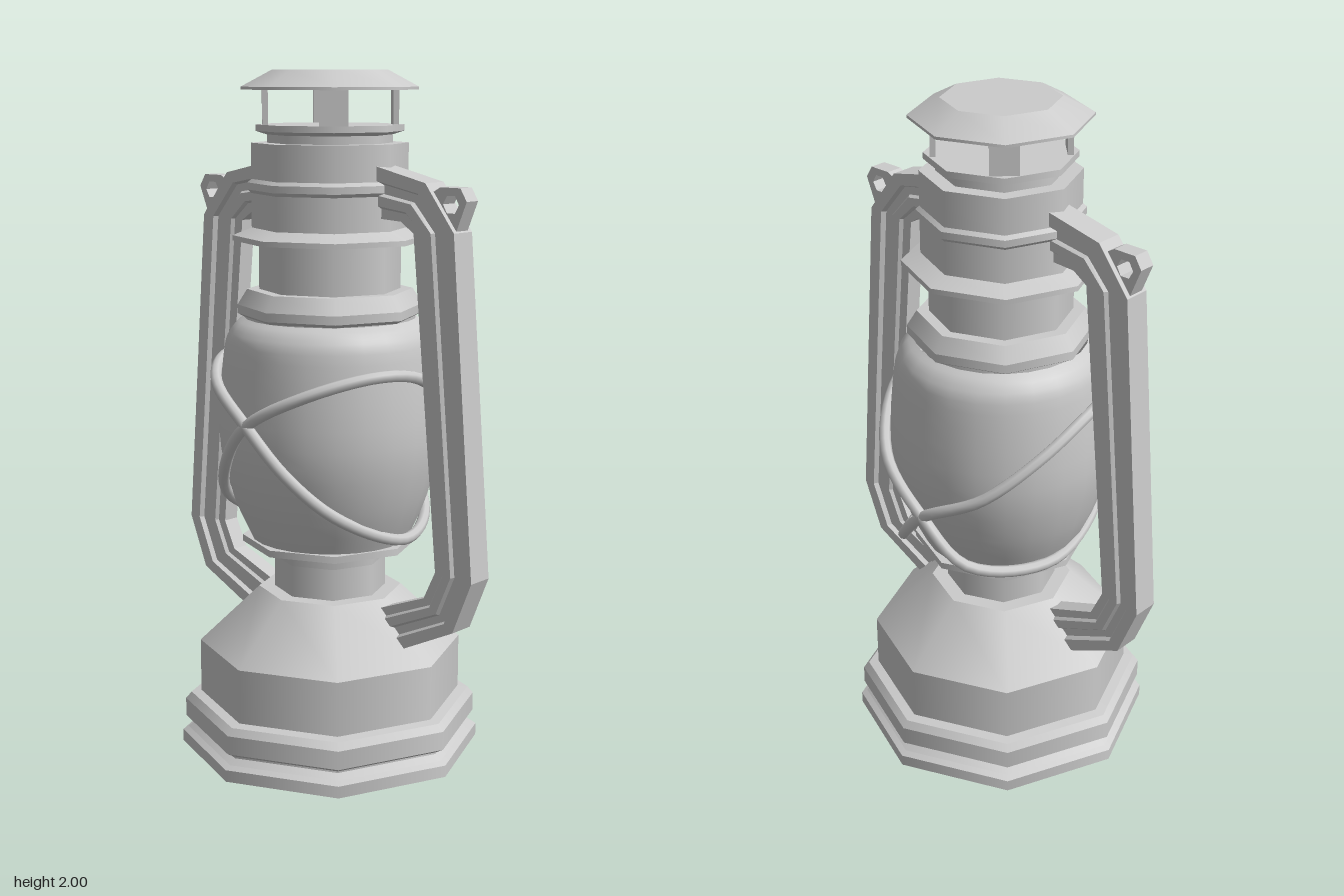
import * as THREE from 'three';
import { mergeGeometries } from 'three/addons/utils/BufferGeometryUtils.js';

const material = new THREE.MeshStandardMaterial({ color: 0xcccccc, side: THREE.DoubleSide });
const flatMaterial = new THREE.MeshStandardMaterial({ color: 0xcccccc, flatShading: true });

// Octagonal turned part: one lathe per band keeps the rims sharp and the sides smooth
function turned(name, profile) {
  const bands = [];
  for (let i = 1; i < profile.length; i++) {
    const pair = [profile[i - 1], profile[i]].map(([r, y]) => new THREE.Vector2(r, y));
    bands.push(new THREE.LatheGeometry(pair, 8));
  }
  return named(name, mergeGeometries(bands));
}

function named(name, geometry, mat = material) {
  const mesh = new THREE.Mesh(geometry, mat);
  mesh.name = name;
  return mesh;
}

// Side frame: a grooved strip lofted between an outer and an inner path
function frameGeometry() {
  const outer = [[0.19, 1.742], [0.38, 1.70], [0.48, 1.57], [0.558, 0.61], [0.495, 0.455], [0.27, 0.345]];
  const inner = [[0.19, 1.595], [0.285, 1.59], [0.33, 1.56], [0.42, 0.614], [0.38, 0.53], [0.19, 0.455]];
  const face = [[0, 0.04], [0.27, 0.04], [0.32, 0.026], [0.5, 0.026], [0.55, 0.036], [0.75, 0.036], [0.8, 0.026], [1, 0.026]];
  const section = [...face, ...face.map(([t, z]) => [t, -z]).reverse()];
  const n = section.length;
  const positions = [];
  const index = [];
  outer.forEach(([ox, oy], i) => {
    const [ix, iy] = inner[i];
    for (const [t, z] of section) positions.push(ox + (ix - ox) * t, oy + (iy - oy) * t, z);
    if (i === 0) return;
    for (let j = 0; j < n; j++) {
      const k = (j + 1) % n;
      const a = (i - 1) * n + j, b = (i - 1) * n + k, c = i * n + k, d = i * n + j;
      index.push(a, b, c, a, c, d);
    }
  });
  const geometry = new THREE.BufferGeometry();
  geometry.setAttribute('position', new THREE.Float32BufferAttribute(positions, 3));
  geometry.setIndex(index);
  geometry.computeVertexNormals();
  return geometry;
}

// Lug with a hole for the carrying bail
function eyeletGeometry() {
  const shape = new THREE.Shape([[0.51, 1.655], [0.488, 1.69], [0.42, 1.69], [0.385, 1.67], [0.40, 1.60], [0.475, 1.57]]
    .map(([x, y]) => new THREE.Vector2(x, y)));
  const hole = new THREE.Path();
  hole.absarc(0.457, 1.645, 0.027, 0, Math.PI * 2, true);
  shape.holes.push(hole);
  const geometry = new THREE.ExtrudeGeometry(shape, { depth: 0.05, bevelEnabled: false, curveSegments: 3 });
  return geometry.translate(0, 0, -0.025);
}

export function createModel() {
  const model = new THREE.Group();
  model.name = 'lantern';

  // Fuel tank with rolled foot rims
  model.add(turned('fuelTank', [
    [0, 0], [0.447, 0], [0.447, 0.035], [0.43, 0.045], [0.41, 0.06], [0.41, 0.065], [0.437, 0.08],
    [0.437, 0.135], [0.42, 0.155], [0.39, 0.16], [0.39, 0.32], [0.212, 0.487], [0, 0.487],
  ]));

  // Burner stem and the plate under the glass
  model.add(turned('burner', [[0.165, 0.48], [0.165, 0.58], [0.17, 0.63]]));
  model.add(turned('globePlate', [[0, 0.627], [0.26, 0.627], [0.26, 0.647], [0, 0.647]]));

  // Rounded glass globe
  const globe = new THREE.SplineCurve([[0.23, 0.64], [0.29, 0.78], [0.325, 0.96], [0.309, 1.2], [0.285, 1.27], [0.25, 1.3]]
    .map(([r, y]) => new THREE.Vector2(r, y)));
  model.add(named('glassGlobe', new THREE.LatheGeometry(globe.getPoints(20), 24)));

  // Globe collar, neck, flange and chimney
  model.add(turned('globeCollar', [
    [0.2, 1.285], [0.25, 1.285], [0.25, 1.30], [0.268, 1.31], [0.268, 1.335], [0.24, 1.38], [0, 1.38],
  ]));
  model.add(turned('neck', [[0.205, 1.37], [0.205, 1.53]]));
  model.add(turned('flange', [[0.2, 1.52], [0.28, 1.52], [0.28, 1.535], [0.225, 1.557]]));
  model.add(turned('chimney', [
    [0.225, 1.55], [0.225, 1.655], [0.236, 1.665], [0.236, 1.685], [0.225, 1.695], [0.225, 1.797], [0, 1.797],
  ]));
  model.add(turned('ventRing', [
    [0.18, 1.79], [0.18, 1.82], [0.212, 1.83], [0.212, 1.848], [0, 1.848],
  ]));

  // Four posts hold the cap above the vent
  for (let i = 0; i < 4; i++) {
    const angle = Math.PI / 4 + i * Math.PI / 2;
    const post = named('ventPost', new THREE.BoxGeometry(0.08, 0.11, 0.016), flatMaterial);
    post.position.set(Math.sin(angle) * 0.185, 1.9, Math.cos(angle) * 0.185);
    post.rotation.y = angle;
    model.add(post);
  }
  model.add(turned('cap', [[0, 1.945], [0.253, 1.945], [0.253, 1.953], [0.165, 2], [0, 2]]));

  // Grooved side frames with their eyelets
  const frame = frameGeometry();
  const eyelet = eyeletGeometry();
  for (const side of ['left', 'right']) {
    const handle = new THREE.Group();
    handle.name = side + 'Frame';
    handle.add(named('frameStrip', frame, flatMaterial), named('eyelet', eyelet, flatMaterial));
    if (side === 'right') handle.rotation.y = Math.PI;
    model.add(handle);
  }

  // Two tilted guard wires crossing before and behind the globe
  const wirePath = [
    [0, 1.025, 0.352], [0.17, 1.12, 0.295], [0.295, 1.17, 0.14], [0.325, 1.155, 0], [0.295, 1.07, -0.16],
    [0.19, 0.95, -0.285], [0, 0.84, -0.335], [-0.13, 0.705, -0.285], [-0.25, 0.665, -0.04],
    [-0.21, 0.77, 0.21], [-0.12, 0.89, 0.315],
  ];
  for (const s of [1, -1]) {
    const curve = new THREE.CatmullRomCurve3(wirePath.map(([x, y, z]) => new THREE.Vector3(s * x, y, z)), true);
    model.add(named('guardWire', new THREE.TubeGeometry(curve, 64, 0.017, 8, true)));
  }
  return model;
}
